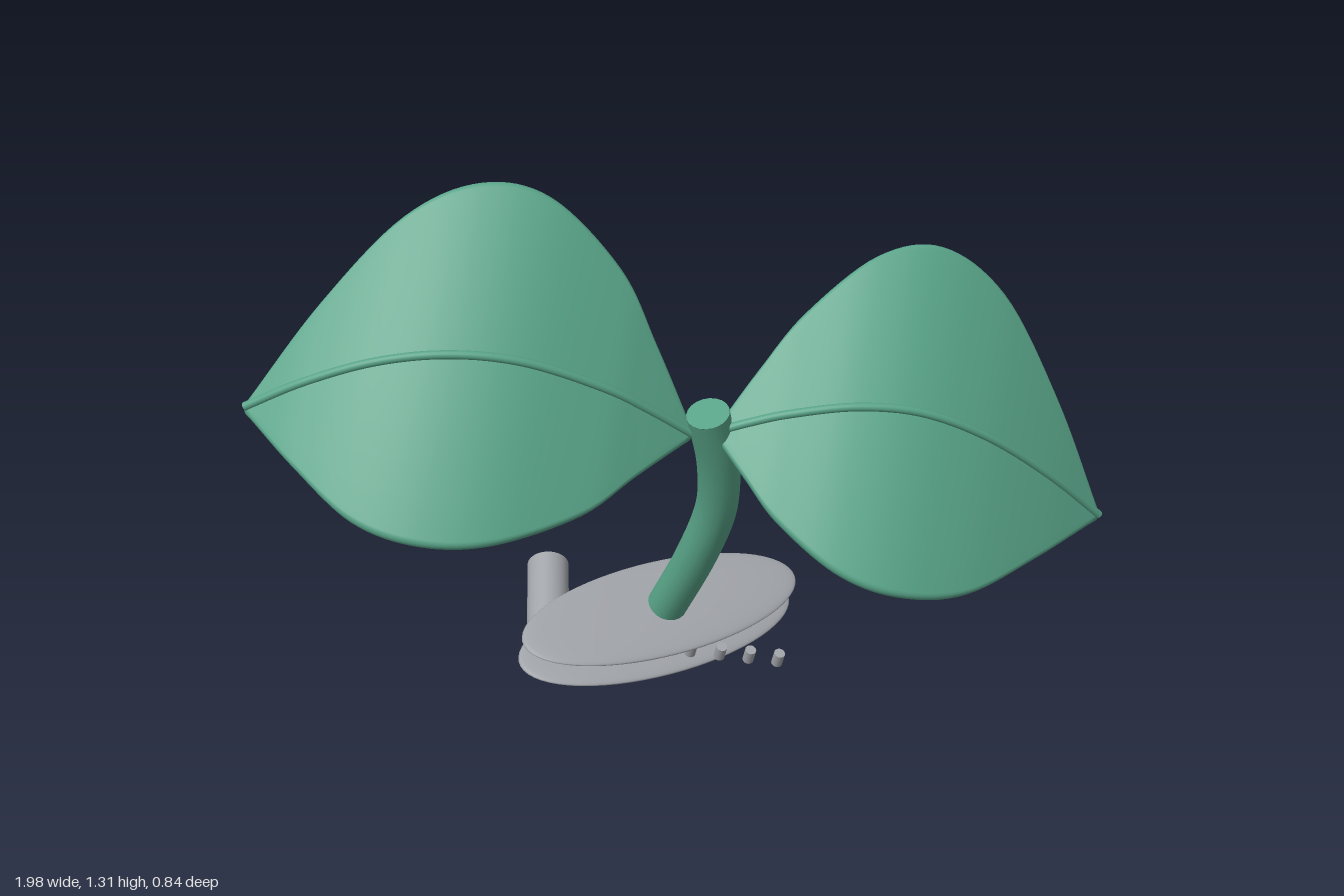
import * as THREE from 'three';

const V = (x, y, z) => new THREE.Vector3(x, y, z);

export function createModel() {
  const model = new THREE.Group();
  const green = new THREE.MeshStandardMaterial({ color: 0x58a388 });
  green.name = 'leafGreen';
  const gray = new THREE.MeshStandardMaterial({ color: 0xa0a3a8 });
  gray.name = 'metalGray';

  const add = (name, geometry, material, parent = model) => {
    const mesh = new THREE.Mesh(geometry, material);
    mesh.name = name;
    parent.add(mesh);
    return mesh;
  };

  // Disc-capped tube along a curve
  const tube = (name, curve, radius, parent) => {
    add(name, new THREE.TubeGeometry(curve, 48, radius, 20), green, parent);
    for (const t of [0, 1]) {
      const cap = add(name + 'End', new THREE.CircleGeometry(radius, 20), green, parent);
      const dir = curve.getTangent(t).multiplyScalar(t ? 1 : -1);
      cap.position.copy(curve.getPoint(t));
      cap.quaternion.setFromUnitVectors(V(0, 0, 1), dir);
    }
  };

  // Leaf: a rounded slab section swept along an arched midrib.
  // Each point is [x, y, relative half width]; the midrib lies in a tilted plane.
  const across = V(0.07, 0.325, -0.232);
  const leaf = (name, points) => {
    const group = new THREE.Group();
    group.name = name;
    model.add(group);
    const rib = new THREE.CatmullRomCurve3(
      points.map(([x, y]) => V(x, y, (y - 0.465) / 2.5 - 0.025)), false, 'catmullrom');
    const width = new THREE.CatmullRomCurve3(points.map((p) => V(p[2], 0, 0)), false, 'catmullrom');
    const rows = 56, flat = 10, round = 8, r = 0.015;
    const full = across.length(), w = across.clone().normalize();

    // Section loop: [flat position -1..1, rim angle]
    const section = [];
    for (let k = 0; k <= round; k++) section.push([1, -Math.PI / 2 + (Math.PI * k) / round]);
    for (let k = 1; k < flat; k++) section.push([1 - (2 * k) / flat, Math.PI / 2]);
    for (let k = 0; k <= round; k++) section.push([-1, Math.PI / 2 + (Math.PI * k) / round]);
    for (let k = 1; k < flat; k++) section.push([-1 + (2 * k) / flat, -Math.PI / 2]);
    const n = section.length, pos = [], index = [];

    for (let i = 0; i <= rows; i++) {
      const t = i / rows;
      const c = rib.getPoint(t);
      const h = Math.max(0.002, width.getPoint(t).x * full - r);
      const normal = rib.getTangent(t).cross(w).normalize();
      c.addScaledVector(normal, -r);
      for (const [s, a] of section) {
        const bow = (s * h / full) ** 2;
        const p = c.clone().addScaledVector(w, s * h + Math.cos(a) * r)
          .addScaledVector(normal, Math.sin(a) * r)
          .add(V(0, -0.018 * bow, -0.006 * bow));
        pos.push(p.x, p.y, p.z);
      }
    }
    for (let i = 0; i < rows; i++) {
      for (let k = 0; k < n; k++) {
        const a = i * n + k, d = i * n + ((k + 1) % n);
        index.push(a, d, a + n, d, d + n, a + n);
      }
    }
    const last = rows * n;
    for (let k = 1; k < n - 1; k++) {
      index.push(0, k + 1, k, last, last + k, last + k + 1);
    }
    const geometry = new THREE.BufferGeometry();
    geometry.setAttribute('position', new THREE.Float32BufferAttribute(pos, 3));
    geometry.setIndex(index);
    geometry.computeVertexNormals();
    add(name + 'Blade', geometry, green, group);
    tube(name + 'Midrib', rib, 0.01, group);
  };

  leaf('leftLeaf', [
    [0.05, 0.77, 0.03], [0.13, 0.797, 0.31], [0.22, 0.82, 0.6], [0.37, 0.837, 0.91],
    [0.52, 0.815, 1.01], [0.68, 0.735, 0.88], [0.84, 0.61, 0.48], [0.98, 0.475, 0.04],
  ]);
  leaf('rightLeaf', [
    [-0.99, 0.875, 0.04], [-0.85, 0.944, 0.46], [-0.69, 0.997, 0.85], [-0.53, 1.013, 1.01],
    [-0.37, 0.987, 0.97], [-0.2, 0.91, 0.7], [-0.1, 0.843, 0.38], [0.0, 0.765, 0.04],
  ]);

  // Curved stem
  tube('stem', new THREE.CatmullRomCurve3([
    V(-0.05, 0.18, -0.155), V(0.02, 0.37, -0.068), V(0.062, 0.53, -0.005),
    V(0.062, 0.67, 0.045), V(0.035, 0.815, 0.095),
  ]), 0.05, model);

  // Two thin oval plates of the clip
  const plates = [['upperPlate', -0.06, 0.163, -0.167], ['lowerPlate', -0.072, 0.085, -0.202]];
  for (const [name, x, y, z] of plates) {
    const plate = add(name, new THREE.SphereGeometry(1, 64, 24), gray);
    plate.scale.set(0.39, 0.02, 0.145);
    plate.rotation.set(0.39, 0.49, -0.025, 'YXZ');
    plate.position.set(x, y, z);
  }

  // Hinge barrel
  const barrel = add('hingeBarrel', new THREE.CylinderGeometry(0.052, 0.052, 0.2, 32), gray);
  barrel.rotation.x = -1.19;
  barrel.position.set(-0.347, 0.183, -0.207);

  // Row of small clip teeth
  for (let i = 0; i < 8; i++) {
    const t = i / 7;
    const tooth = add('tooth', new THREE.CylinderGeometry(0.014, 0.014, 0.04, 16), gray);
    tooth.rotation.set(0.38, 0, -0.15);
    tooth.position.set(-0.285 + 0.513 * t, 0.135 - 0.105 * t, -0.093 - 0.038 * t);
  }
  return model;
}
